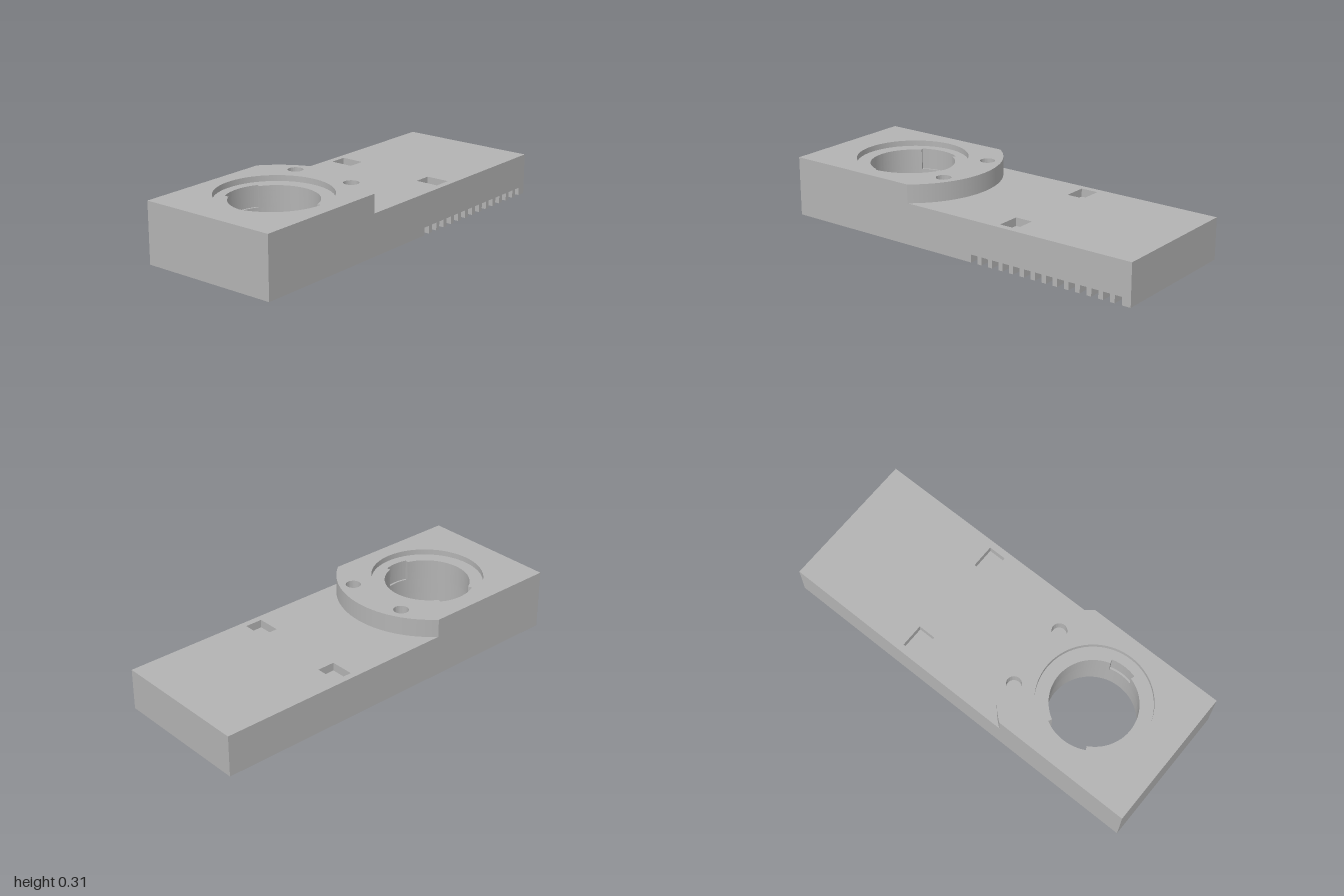
import * as THREE from 'three';
import { toCreasedNormals } from 'three/addons/utils/BufferGeometryUtils.js';

const W = 0.365, IN_X = 0.305, IN_Z = 0.94; // half width, cavity half sizes
const BORE_Z = 0.555;

export function createModel() {
  const model = new THREE.Group();
  const grey = new THREE.MeshStandardMaterial({ color: 0xb3b3b3 });
  grey.name = 'plain grey';

  // Extrudes a plan outline (drawn in x, z) upward from y0 to y1
  function layer(name, outline, holes, y0, y1) {
    outline.holes.push(...holes);
    const g = new THREE.ExtrudeGeometry(outline, { depth: y1 - y0, bevelEnabled: false, curveSegments: 64 });
    g.rotateX(-Math.PI / 2);
    g.translate(0, y0, 0);
    const mesh = new THREE.Mesh(toCreasedNormals(g, 0.5), grey);
    mesh.name = name;
    model.add(mesh);
  }
  const poly = (pts) => new THREE.Shape(pts.map(([x, z]) => new THREE.Vector2(x, -z)));
  const rect = (x0, x1, z0, z1) => poly([[x0, z0], [x0, z1], [x1, z1], [x1, z0]]);
  const circle = (x, z, r) => new THREE.Shape().absarc(x, -z, r, 0, Math.PI * 2, false);
  const block = () => rect(-W, W, -1, 1);

  // Bore with a wide key notch on one side and a narrow one on the other
  function keyedBore() {
    const s = new THREE.Shape(), r = 0.215, R = 0.235, a = 0.29, b = 0.5, P = Math.PI;
    s.absarc(0, -BORE_Z, R, -a, a, false);
    s.absarc(0, -BORE_Z, r, a, P - b, false);
    s.absarc(0, -BORE_Z, R, P - b, P + b, false);
    s.absarc(0, -BORE_Z, r, P + b, 2 * P - a, false);
    s.closePath();
    return s;
  }

  // Raised head: square front, round back
  function head() {
    const R = 0.46, a = Math.acos(W / R);
    const s = new THREE.Shape();
    s.moveTo(-W, -1);
    s.lineTo(W, -1);
    s.absarc(0, -BORE_Z, R, a, Math.PI - a, false);
    s.closePath();
    return s;
  }

  // Bottom rim, open along the slotted stretch of the left wall
  const slotStart = -0.115, pitch = 0.0617, slot = 0.037, count = 14;
  const slotEnd = slotStart - pitch * (count - 1) - slot;
  layer('bottomRim', poly([
    [W, slotStart], [IN_X, slotStart], [IN_X, IN_Z], [-IN_X, IN_Z], [-IN_X, -IN_Z], [IN_X, -IN_Z],
    [IN_X, slotEnd], [W, slotEnd], [W, -1], [-W, -1], [-W, 1], [W, 1],
  ]), [], 0, 0.04);
  for (let i = 0; i < count - 1; i++) {
    const z = slotStart - slot - i * pitch;
    layer('rimTooth', rect(IN_X, W, z - pitch + slot, z), [], 0, 0.04);
  }
  layer('upperRim', block(), [rect(-IN_X, IN_X, -IN_Z, IN_Z)], 0.04, 0.082);

  // Collar around the bore inside the cavity
  layer('collar', circle(0, BORE_Z, 0.287), [circle(0, BORE_Z, 0.225)], 0, 0.082);

  // Body slab, with two rectangular pockets in its top
  layer('bodySlab', block(), [circle(0, BORE_Z, 0.225)], 0.082, 0.17);
  const pockets = [-1, 1].map((s) => rect(s * 0.27 - 0.061, s * 0.27 + 0.061, -0.352, -0.26));
  layer('bodyTop', block(), [keyedBore(), ...pockets], 0.17, 0.212);

  // Raised head with pin holes and a shallow recess around the bore
  const pins = () => [-1, 1].map((s) => circle(s * 0.173, 0.208, 0.038));
  layer('headBase', head(), [keyedBore()], 0.212, 0.25);
  layer('headMiddle', head(), [keyedBore(), ...pins()], 0.25, 0.278);
  layer('headTop', head(), [circle(0, BORE_Z, 0.283), ...pins()], 0.278, 0.307);

  return model;
}
